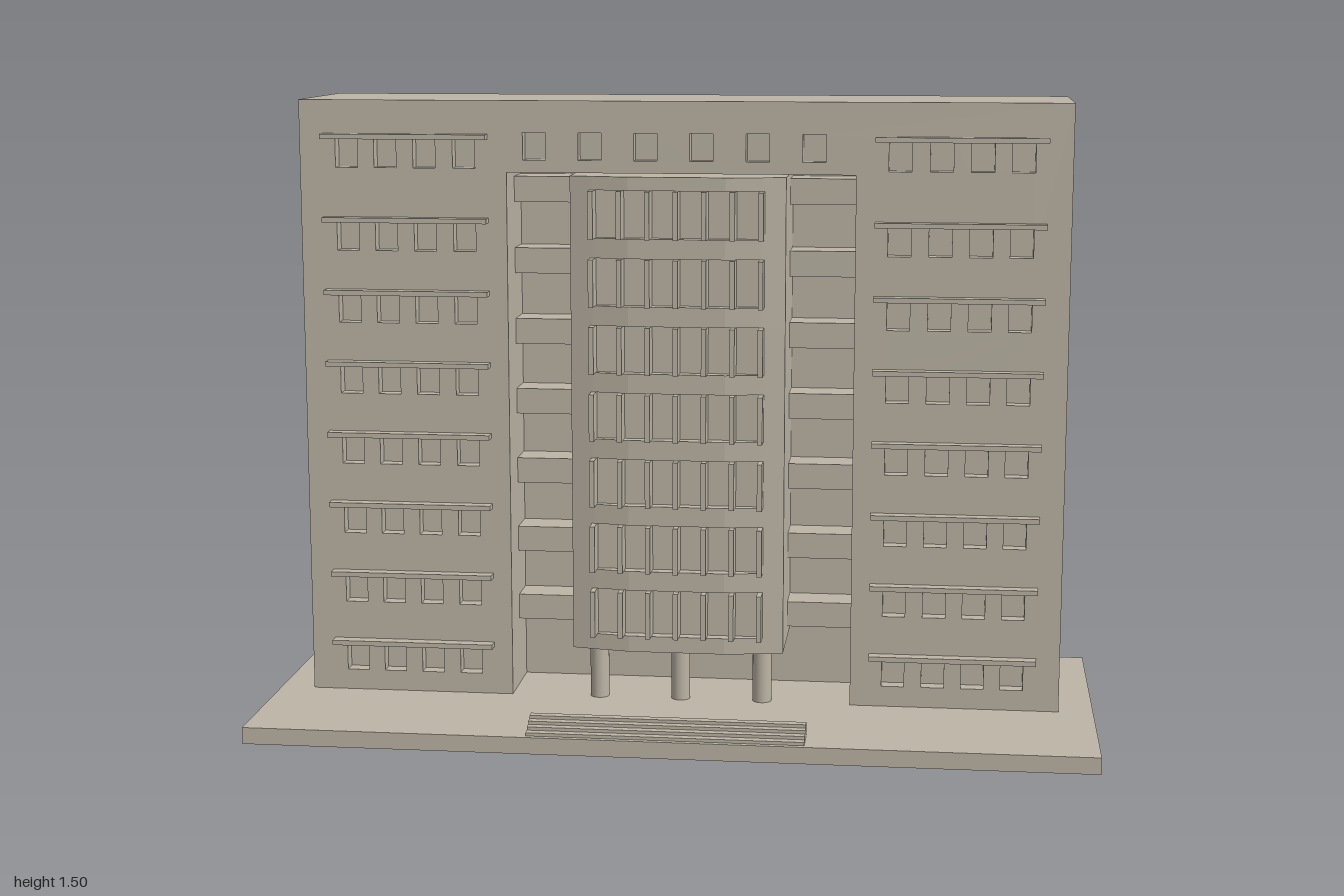
import * as THREE from 'three';

export function createModel() {
  const model = new THREE.Group();
  const concrete = new THREE.MeshStandardMaterial({ color: 0xbdb5a6 });
  concrete.name = 'warm concrete';

  const add = (name, geometry) => {
    const mesh = new THREE.Mesh(geometry, concrete);
    mesh.name = name;
    model.add(mesh);
    return mesh;
  };
  // Box given by its limits on each axis
  const box = (name, x0, x1, y0, y1, z0, z1) =>
    add(name, new THREE.BoxGeometry(x1 - x0, y1 - y0, z1 - z0)
      .translate((x0 + x1) / 2, (y0 + y1) / 2, (z0 + z1) / 2));
  const toShape = (pts) => new THREE.Shape(pts.map(([x, y]) => new THREE.Vector2(x, y)));
  const rectHole = (x, y, w, h) => {
    const p = new THREE.Path();
    p.moveTo(x - w / 2, y - h / 2);
    p.lineTo(x - w / 2, y + h / 2);
    p.lineTo(x + w / 2, y + h / 2);
    p.lineTo(x + w / 2, y - h / 2);
    p.closePath();
    return p;
  };

  // Ground slab
  box('baseSlab', -1, 1, 0, 0.04, -0.415, 0.41);

  // Main block: solid rear, then a front wrapped around a deep central recess
  const W = 0.917, R = 0.415, B = 0.04, T = 1.495, RT = 1.325;
  const recessBack = -0.12, glassZ = 0.035, frontZ = 0.07;
  box('rearBlock', -W, W, B, T, -0.315, recessBack);
  const arch = () => toShape([[-W, B], [-R, B], [-R, RT], [R, RT], [R, B], [W, B], [W, T], [-W, T]]);
  add('recessSurround', new THREE.ExtrudeGeometry(arch(), { depth: glassZ - recessBack, bevelEnabled: false })
    .translate(0, 0, recessBack));

  // Facade layer with window openings, and a canopy over each row
  const facade = arch();
  const canopyTops = [1.415, 1.216, 1.041, 0.867, 0.693, 0.519, 0.345, 0.171];
  for (const top of canopyTops) {
    for (const side of [-1, 1]) {
      for (const x of [0.518, 0.614, 0.709, 0.803]) {
        facade.holes.push(rectHole(side * x, top - 0.047, 0.054, 0.068));
      }
      const c = side * 0.66;
      box('windowCanopy', c - 0.2, c + 0.2, top - 0.012, top, frontZ, 0.1);
    }
  }
  for (let i = 0; i < 6; i++) facade.holes.push(rectHole(-0.348 + i * 0.133, 1.387, 0.055, 0.065));
  add('facade', new THREE.ExtrudeGeometry(facade, { depth: frontZ - glassZ, bevelEnabled: false })
    .translate(0, 0, glassZ));

  // Balcony bands on both sides of the tower
  for (let i = 0; i < 7; i++) {
    const y = 0.206 + i * 0.1735;
    for (const s of [-1, 1]) {
      const c = s * 0.335;
      box('balconyBand', c - 0.08, c + 0.08, y, y + 0.062, recessBack, -0.03);
    }
  }

  // Central bowed tower, stacked from spandrel and notched window layers
  const bow = [[0.255, 0.118], [0.2, 0.129], [0.115, 0.143], [-0.115, 0.143], [-0.2, 0.129], [-0.255, 0.118]];
  const notch = [[0.255, 0.118], [0.2, 0.129], [0.2, 0.115], [-0.2, 0.115], [-0.2, 0.129], [-0.255, 0.118]];
  const layer = (name, front, y0, y1) => {
    const pts = [[-0.255, recessBack], [0.255, recessBack], ...front].map(([x, z]) => [x, -z]);
    add(name, new THREE.ExtrudeGeometry(toShape(pts), { depth: y1 - y0, bevelEnabled: false })
      .rotateX(-Math.PI / 2).translate(0, y0, 0));
  };
  let level = 0.178;
  for (let f = 0; f < 7; f++) {
    const y0 = 0.217 + f * 0.16, y1 = y0 + 0.113;
    layer('towerSpandrel', bow, level, y0);
    layer('towerWindowBand', notch, y0, y1);
    for (let i = 0; i < 7; i++) {
      const x = -0.2 + i * 0.2 / 3;
      box('sunFin', x - 0.006, x + 0.006, y0, y1, 0.11, 0.169);
    }
    level = y1;
  }
  layer('towerTop', bow, level, 1.322);

  // Entrance columns under the tower
  for (const x of [-0.2, 0, 0.2]) {
    add('entranceColumn', new THREE.CylinderGeometry(0.023, 0.023, 0.142, 24).translate(x, 0.109, 0.053));
  }

  // Entrance steps
  for (let i = 0; i < 4; i++) {
    box('step', -0.325, 0.325, B + i * 0.0078, B + (i + 1) * 0.0078, 0.317, 0.398 - i * 0.02);
  }
  return model;
}
